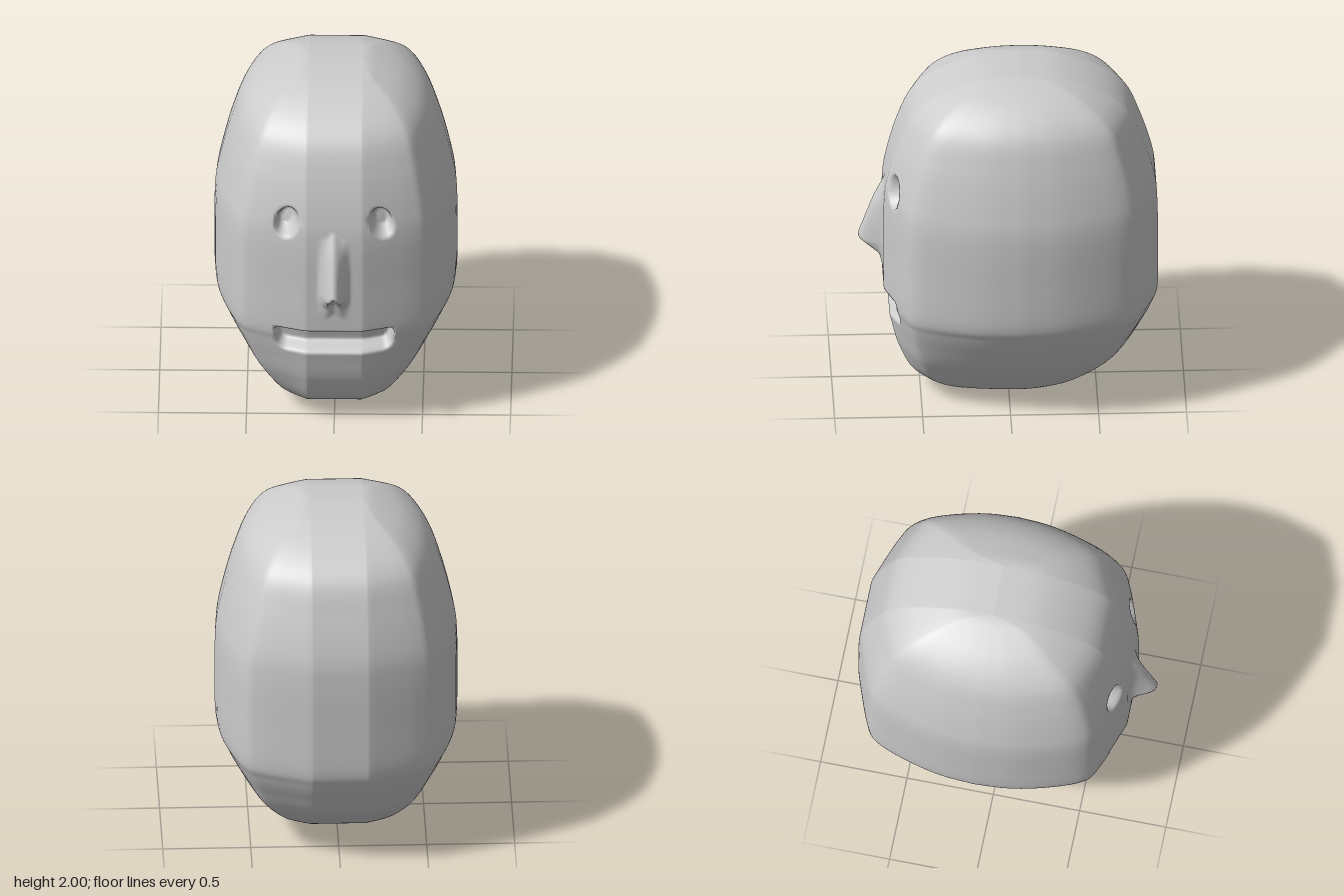
import * as THREE from 'three';

const { smoothstep, lerp, clamp } = THREE.MathUtils;

// Head levels from crown to chin: y, half width, front z, back z
const LEVELS = [
  [2.0, 0.15, -0.07, -0.07], [1.98, 0.23, 0.16, -0.29], [1.9, 0.4, 0.37, -0.51],
  [1.78, 0.525, 0.53, -0.67], [1.6, 0.597, 0.62, -0.755], [1.37, 0.657, 0.685, -0.827],
  [1.2, 0.685, 0.708, -0.846], [0.92, 0.69, 0.71, -0.85], [0.65, 0.685, 0.708, -0.848],
  [0.55, 0.65, 0.69, -0.82], [0.44, 0.595, 0.665, -0.765], [0.28, 0.5, 0.62, -0.66],
  [0.12, 0.36, 0.53, -0.45], [0.04, 0.26, 0.36, -0.27], [0.015, 0.2, 0.13, -0.16],
  [0, 0.15, -0.07, -0.07],
];
const STRIP = 0.15; // half width of the flat middle strip
const MID_Z = -0.07;

// Quarter of the horizontal section beyond the strip: share of width, share of depth
const CORNER = [[0, 1], [0.09, 0.985], [0.54, 0.87], [0.73, 0.78], [0.87, 0.55], [0.97, 0.27], [1, 0]];
const CORNER_STEPS = [4, 20, 5, 4, 4, 4];

const spline = (pts) => new THREE.SplineCurve(pts.map(([x, y]) => new THREE.Vector2(x, y)));

// Spline parameters with a chosen number of steps in each span
function spanParams(steps) {
  const ts = [];
  steps.forEach((n, s) => {
    for (let i = 0; i < n; i++) ts.push((s + i / n) / steps.length);
  });
  return [...ts, 1];
}

// Closed section loop, as strip share, width share and depth share
function sectionLoop() {
  const curve = spline(CORNER);
  const quarter = [];
  for (let i = 0; i < 12; i++) quarter.push([i / 12, 0, 1]);
  for (const t of spanParams(CORNER_STEPS)) {
    const p = curve.getPoint(t);
    quarter.push([1, p.x, p.y]);
  }
  const back = quarter.slice(0, -1).reverse().map(([a, g, h]) => [a, g, -h]);
  const half = [...quarter, ...back];
  const mirrored = half.slice(1, -1).reverse().map(([a, g, h]) => [-a, -g, h]);
  return [...half, ...mirrored];
}

// Nose ridge: height above the face along y
const NOSE = [[1.29, 0], [1.16, 0.055], [0.93, 0.14], [0.85, 0.025], [0.77, 0]];
function nose(x, y) {
  const ax = Math.abs(x);
  const yy = y + Math.min(ax, 0.04); // underside notched at the middle
  for (let i = 1; i < NOSE.length; i++) {
    const [y0, p0] = NOSE[i - 1], [y1, p1] = NOSE[i];
    if (yy <= y0 && yy >= y1) {
      return lerp(p0, p1, (y0 - yy) / (y0 - y1)) * (1 - smoothstep(ax, 0.015, 0.095));
    }
  }
  return 0;
}

// Eye socket: oval hollow leaning inwards at the top
function eye(x, y) {
  const dy = y - 1.325;
  const dx = Math.abs(x) - 0.268 + dy * 0.2;
  const r = Math.hypot(dx / 0.068, dy / 0.092);
  return -0.1 * (1 - smoothstep(r, 0.5, 1.08));
}

// Mouth: rounded slot with a sharp upper lip and a sloping lower one
function mouth(x, y) {
  const dy = y - 0.565;
  const radius = dy > 0 ? 0.03 : 0.07;
  const qx = Math.abs(x) - 0.34 + radius;
  const qy = Math.abs(dy) - 0.082 + radius;
  const dist = Math.hypot(Math.max(qx, 0), Math.max(qy, 0)) + Math.min(Math.max(qx, qy), 0) - radius;
  const slope = lerp(0.06, 0.02, clamp(dy / 0.08 + 0.5, 0, 1));
  return -0.1 * smoothstep(-dist, 0, slope);
}

function headGeometry() {
  const loop = sectionLoop();
  const widths = spline(LEVELS.map(([y, w]) => [y, w]));
  const depths = spline(LEVELS.map(([, , f, b]) => [f, b]));
  const steps = LEVELS.slice(1).map(([y], i) => Math.max(5, Math.ceil((LEVELS[i][0] - y) / 0.011)));
  const rings = spanParams(steps);
  const n = loop.length;
  const positions = [];
  const index = [];

  rings.forEach((t, r) => {
    const { x: y, y: w } = widths.getPoint(t);
    const { x: front, y: back } = depths.getPoint(t);
    loop.forEach(([a, g, h], i) => {
      const x = a * STRIP + g * (w - STRIP);
      let z = MID_Z + h * (h > 0 ? front - MID_Z : MID_Z - back);
      // Facial features push the front in or out
      if (h > 0.5) z += nose(x, y) + eye(x, y) + mouth(x, y);
      positions.push(x, y, z);
      if (r === 0) return;
      const j = (i + 1) % n;
      const up = (r - 1) * n, low = r * n;
      index.push(up + i, low + i, low + j, up + i, low + j, up + j);
    });
  });

  const geometry = new THREE.BufferGeometry();
  geometry.setAttribute('position', new THREE.Float32BufferAttribute(positions, 3));
  geometry.setIndex(index);
  geometry.computeVertexNormals();
  return geometry;
}

export function createModel() {
  const group = new THREE.Group();
  group.name = 'headModel';
  const head = new THREE.Mesh(headGeometry(), new THREE.MeshStandardMaterial({ color: 0xcccccc }));
  head.name = 'head';
  group.add(head);
  return group;
}
